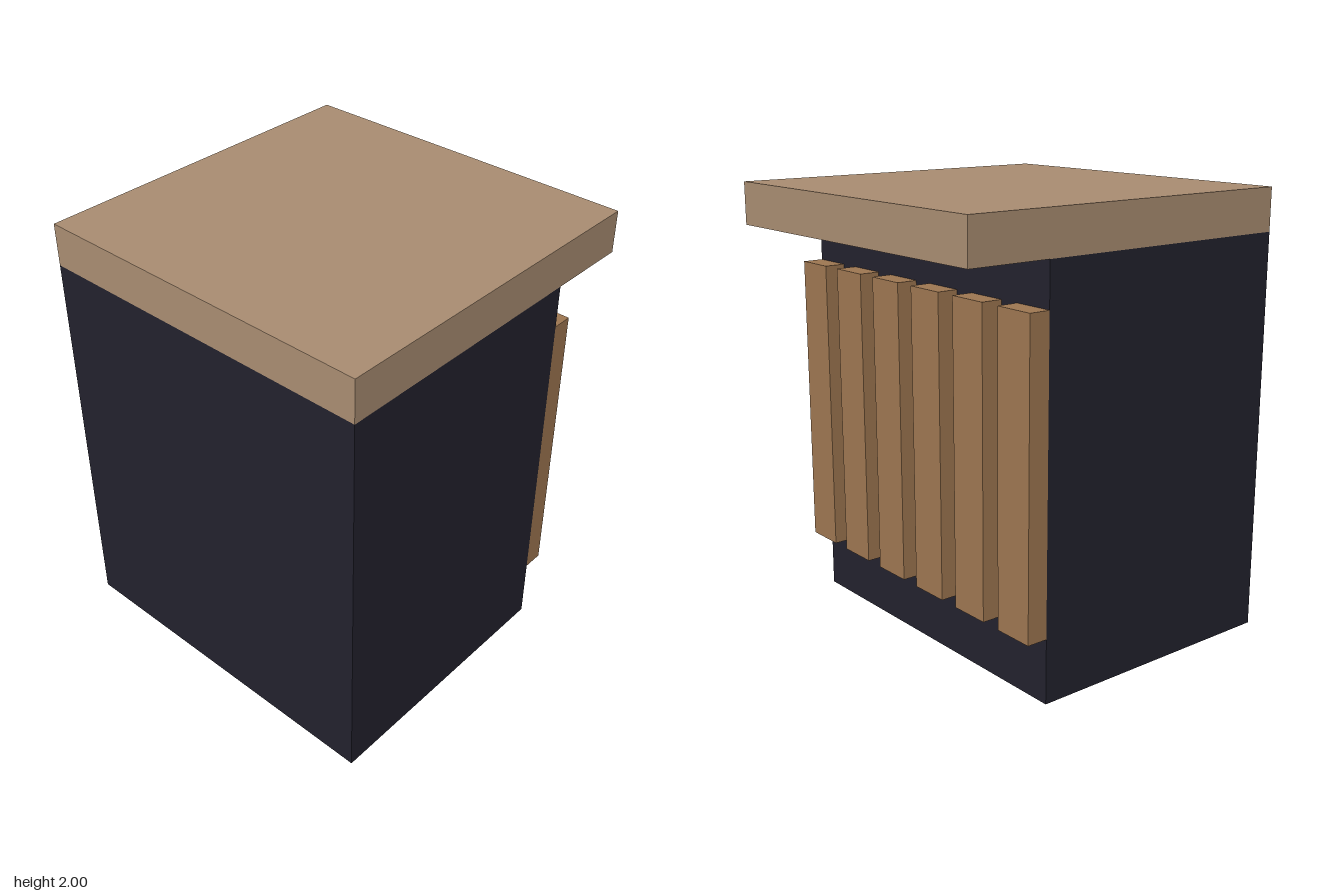
import * as THREE from 'three';

// One grid unit: the model is 21 units tall, 17 wide and 17 deep
const U = 2 / 21;

export function createModel() {
  const group = new THREE.Group();
  const bodyMat = new THREE.MeshStandardMaterial({ color: 0x22212d });
  const topMat = new THREE.MeshStandardMaterial({ color: 0xa78b70 });
  const slatMat = new THREE.MeshStandardMaterial({ color: 0x9c7550 });

  // Box given by its lowest corner and size, in grid units
  function box(name, material, [x, y, z], [w, h, d]) {
    const mesh = new THREE.Mesh(new THREE.BoxGeometry(w * U, h * U, d * U), material);
    mesh.position.set((x + w / 2) * U, (y + h / 2) * U, (z + d / 2) * U);
    mesh.name = name;
    group.add(mesh);
  }

  // Cabinet body, flush with the top at the front and sides
  box('body', bodyMat, [-8.5, 0, -4.5], [17, 19, 13]);

  // Worktop overhanging the back
  box('worktop', topMat, [-8.5, 19, -8.5], [17, 2, 17]);

  // Six upright slats on the back, one unit apart
  for (let i = 0; i < 6; i++) {
    box(`slat${i + 1}`, slatMat, [-8.5 + i * 3, 3, -5.5], [2, 14, 1]);
  }

  return group;
}
